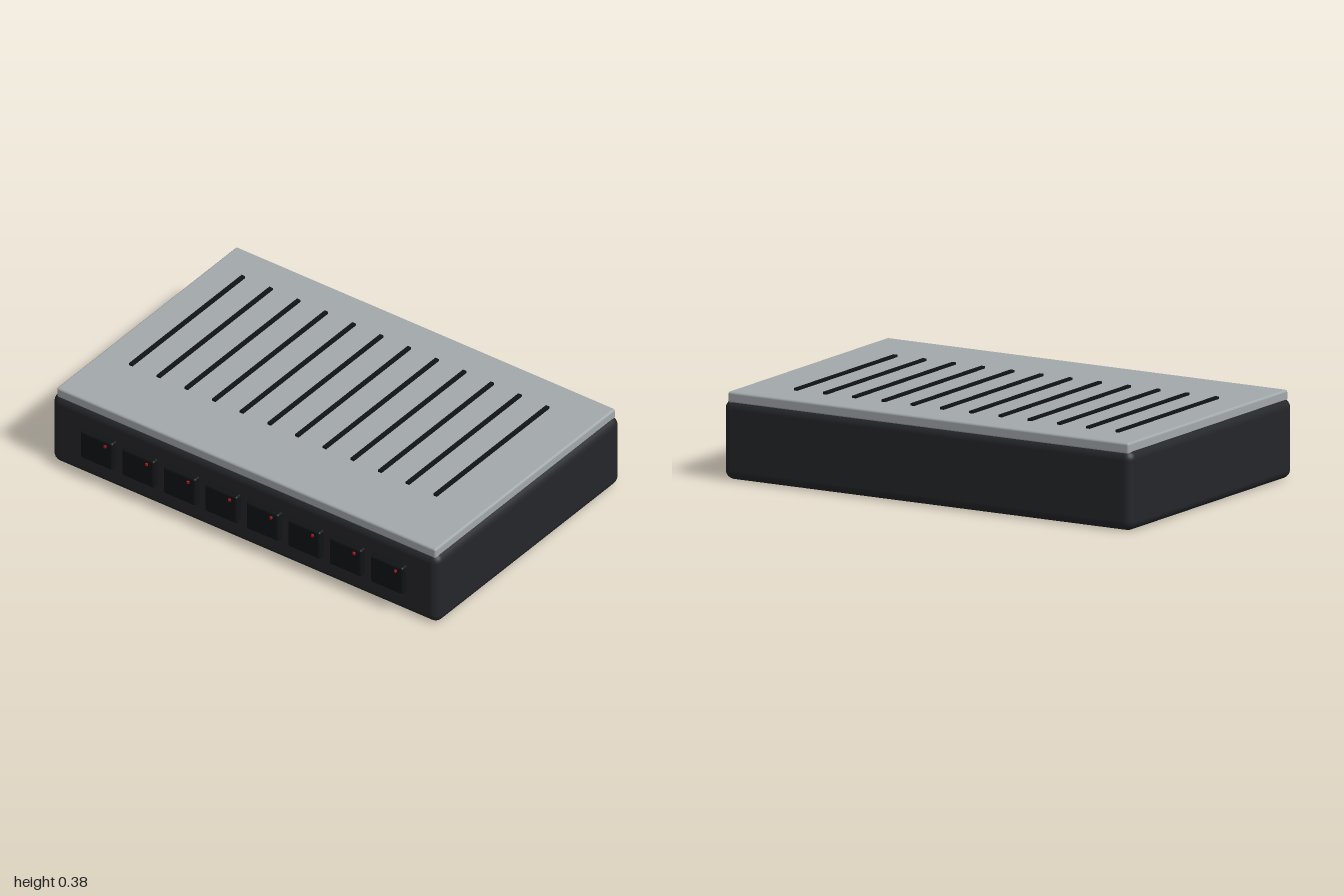
import * as THREE from 'three';
import { RoundedBoxGeometry } from 'three/addons/geometries/RoundedBoxGeometry.js';

export function createModel() {
  const group = new THREE.Group();
  const paint = (color) => new THREE.MeshStandardMaterial({ color });
  const shell = paint(0x25262a), metal = paint(0xa3a9ab), black = paint(0x101314), red = paint(0xb01820);

  // Adds a box given its extents; a radius rounds its edges
  function box(name, material, [x0, x1], [y0, y1], [z0, z1], radius = 0) {
    const size = [x1 - x0, y1 - y0, z1 - z0];
    const geometry = radius ? new RoundedBoxGeometry(...size, 4, radius) : new THREE.BoxGeometry(...size);
    const mesh = new THREE.Mesh(geometry, material);
    mesh.name = name;
    mesh.position.set((x0 + x1) / 2, (y0 + y1) / 2, (z0 + z1) / 2);
    group.add(mesh);
  }

  // Rounded case and its slightly inset lid
  box('body', shell, [-1, 1], [0, 0.34], [-0.66, 0.625], 0.04);
  box('lid', metal, [-0.98, 0.98], [0.325, 0.374], [-0.648, 0.612], 0.01);

  // Row of raised strips across the lid
  for (let i = 0; i < 12; i++) {
    const x = -0.824 + i * 0.143;
    box('ventStrip' + (i + 1), black, [x - 0.009, x + 0.009], [0.36, 0.384], [-0.485, 0.303]);
  }

  // Row of front buttons, each with a small indicator light
  for (let i = 0; i < 8; i++) {
    const x = -0.743 + i * 0.2143;
    box('button' + (i + 1), black, [x - 0.083, x + 0.083], [0.107, 0.242], [0.61, 0.655], 0.01);
    box('indicatorLight' + (i + 1), red, [x + 0.045, x + 0.055], [0.215, 0.225], [0.65, 0.664]);
  }
  return group;
}
